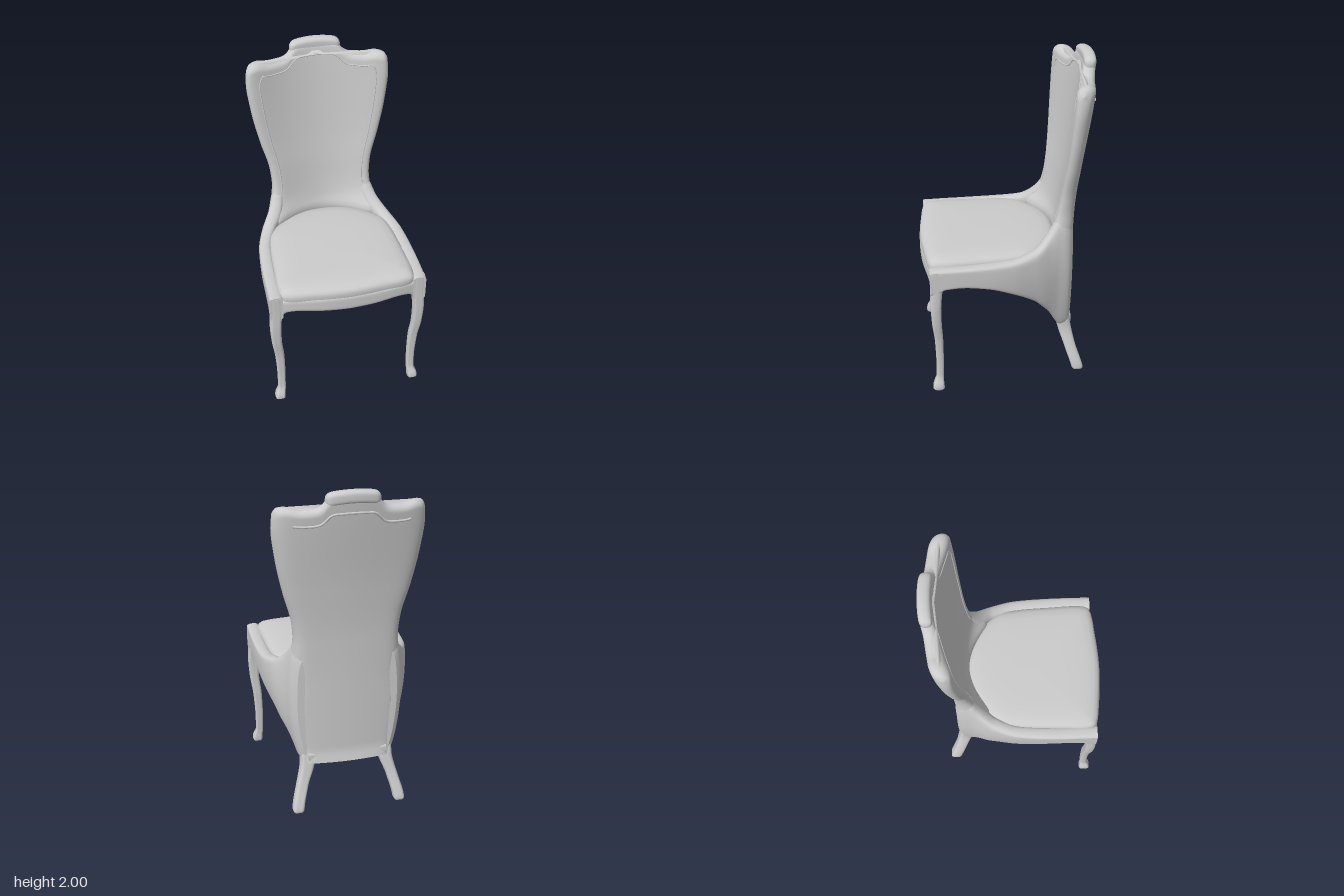
import * as THREE from 'three';

const material = new THREE.MeshStandardMaterial({ color: 0xcccccc, side: THREE.DoubleSide });

// Smooth interpolation of rows [key, a, b, ...]; returns key => [a, b, ...]
function table(rows) {
  const n = rows.length;
  const slope = (i, c) => (rows[i + 1][c] - rows[i][c]) / (rows[i + 1][0] - rows[i][0]);
  const tangent = (i, c) => {
    if (i === 0) return slope(0, c);
    if (i === n - 1) return slope(n - 2, c);
    const a = slope(i - 1, c), b = slope(i, c);
    return a * b <= 0 ? 0 : 2 * a * b / (a + b);
  };
  return (key) => {
    const k = THREE.MathUtils.clamp(key, rows[0][0], rows[n - 1][0]);
    let i = 0;
    while (i < n - 2 && k > rows[i + 1][0]) i++;
    const h = rows[i + 1][0] - rows[i][0], t = (k - rows[i][0]) / h, t2 = t * t, t3 = t2 * t;
    return rows[i].slice(1).map((v, j) => (2 * t3 - 3 * t2 + 1) * v + (3 * t2 - 2 * t3) * rows[i + 1][j + 1]
      + h * ((t3 - 2 * t2 + t) * tangent(i, j + 1) + (t3 - t2) * tangent(i + 1, j + 1)));
  };
}

// Skin closed rings of [x, y, z] points, cap both ends and face outward
function loft(name, rings) {
  const n = rings[0].length, pos = rings.flat(2), idx = [];
  for (let r = 0; r < rings.length - 1; r++) {
    for (let i = 0; i < n; i++) {
      const a = r * n + i, b = r * n + (i + 1) % n;
      idx.push(a, b, a + n, b, b + n, a + n);
    }
  }
  [rings[0], rings[rings.length - 1]].forEach((ring, end) => {
    const base = pos.length / 3;
    const mid = [0, 1, 2].map((c) => ring.reduce((s, p) => s + p[c], 0) / n);
    pos.push(...ring.flat(), ...mid);
    for (let i = 0; i < n; i++) {
      const a = base + i, b = base + (i + 1) % n;
      idx.push(...(end ? [a, b, base + n] : [b, a, base + n]));
    }
  });
  // Signed volume decides the winding
  const p = (i) => new THREE.Vector3().fromArray(pos, i * 3);
  let volume = 0;
  for (let i = 0; i < idx.length; i += 3) volume += p(idx[i]).dot(p(idx[i + 1]).cross(p(idx[i + 2])));
  if (volume < 0) idx.reverse();
  const geo = new THREE.BufferGeometry();
  geo.setAttribute('position', new THREE.Float32BufferAttribute(pos, 3));
  geo.setIndex(idx);
  geo.computeVertexNormals();
  const mesh = new THREE.Mesh(geo, material);
  mesh.name = name;
  return mesh;
}

const steps = (a, b, n) => Array.from({ length: n + 1 }, (_, i) => a + (b - a) * i / n);

// Rounded slab section: pairs [along, across] in -1..1
function section(n, power) {
  return steps(0, 2 * Math.PI, n).slice(0, n).map((t) => {
    const u = Math.cos(t);
    return [u, Math.sign(Math.sin(t)) * Math.sqrt(Math.max(0, 1 - Math.abs(u) ** power))];
  });
}

function tube(name, points, radius) {
  const curve = new THREE.CatmullRomCurve3(points.map((p) => new THREE.Vector3(...p)));
  const mesh = new THREE.Mesh(new THREE.TubeGeometry(curve, 96, radius, 10), material);
  mesh.name = name;
  return mesh;
}

// Back shell: half width, then z of front centre, front edge, back centre, back edge
const halfWidth = table([[0.3, 0.27], [0.4, 0.287], [0.55, 0.315], [0.75, 0.336], [0.9, 0.334], [1, 0.322],
  [1.1, 0.312], [1.2, 0.32], [1.4, 0.37], [1.6, 0.41], [1.78, 0.43], [1.86, 0.424]]);
const frontZ = table([[0.3, -0.36, -0.33], [0.45, -0.355, -0.3], [0.7, -0.35, -0.27], [0.8, -0.32, -0.16],
  [0.9, -0.3, -0.13], [0.95, -0.315, -0.18], [1, -0.325, -0.225], [1.1, -0.34, -0.262], [1.2, -0.352, -0.28],
  [1.4, -0.38, -0.3], [1.9, -0.44, -0.325], [2, -0.455, -0.34]]);
const backZ = table([[0.3, -0.422, -0.4], [0.38, -0.405, -0.385], [0.8, -0.405, -0.375], [1.1, -0.41, -0.39],
  [1.4, -0.435, -0.41], [1.9, -0.508, -0.458], [2, -0.52, -0.465]]);
const topEdge = table([[0, 1.985], [0.1, 1.98], [0.13, 1.965], [0.15, 1.938], [0.17, 1.914], [0.21, 1.898],
  [0.28, 1.895], [0.36, 1.907], [0.4, 1.9], [0.43, 1.86]]);

function backPoint(u, row, s) {
  const x = u * halfWidth(row)[0];
  const y = row + (topEdge(Math.abs(x))[0] - 1.86) * THREE.MathUtils.smoothstep(row, 1.6, 1.86);
  const k = Math.abs(u) ** 1.9;
  const [fc, fe] = frontZ(y), [bc, be] = backZ(y);
  const f = fc + (fe - fc) * k, b = bc + (be - bc) * k;
  const roll = row > 1.82 ? Math.sqrt(Math.max(0, 1 - ((row - 1.82) / 0.04) ** 2)) : 1;
  return [x, y, (f + b) / 2 + s * roll * (f - b) / 2];
}

function backrest() {
  const group = new THREE.Group();
  group.name = 'backrest';
  const rows = [...steps(0.3, 1.81, 60), ...steps(0, Math.PI / 2, 10).map((a) => 1.82 + 0.04 * Math.sin(a))];
  const ring = section(128, 10);
  group.add(loft('backShell', rows.map((y) => ring.map(([u, s]) => backPoint(u, y, s)))));

  // Beads around the upholstery in front and below the crest behind
  const face = (u, y, side) => backPoint(u, y, side * Math.sqrt(1 - Math.abs(u) ** 10));
  const edge = steps(1.05, 1.75, 16);
  const path = [...edge.map((y) => [-0.82, y]), ...steps(-0.77, 0.77, 30).map((u) => [u, 1.797]),
    ...edge.reverse().map((y) => [0.82, y])];
  group.add(tube('frontBead', path.map(([u, y]) => face(u, y, 1)), 0.004));
  group.add(tube('rearBead', steps(-0.75, 0.75, 30).map((u) => face(u, 1.78, -1)), 0.007));

  // Rounded crest block at the top, drooping slightly at its ends
  const block = section(32, 4);
  group.add(loft('crest', steps(-Math.PI / 2, Math.PI / 2, 32).map((t) => {
    const e = Math.sin(t), x = 0.152 * e, k = Math.sqrt(Math.max(0, 1 - e ** 12));
    return block.map(([a, b]) => [x, 1.962 - 0.016 * e * e + a * 0.038 * k, -0.484 + 0.012 * e * e + b * 0.036 * k]);
  })));
  return group;
}

// Side panel by z: bottom y, top y, outer x at bottom, middle and top, thickness
const sideTable = table([[-0.385, 0.31, 0.98, 0.25, 0.3, 0.28, 0.04], [-0.365, 0.29, 1.04, 0.274, 0.328, 0.296, 0.06],
  [-0.33, 0.29, 1.08, 0.284, 0.344, 0.307, 0.07], [-0.3, 0.325, 1.075, 0.295, 0.354, 0.312, 0.075],
  [-0.25, 0.42, 1.005, 0.33, 0.378, 0.338, 0.09],
  [-0.2, 0.49, 0.945, 0.365, 0.402, 0.378, 0.1], [-0.15, 0.55, 0.908, 0.39, 0.42, 0.41, 0.09],
  [0, 0.65, 0.874, 0.44, 0.455, 0.455, 0.075], [0.15, 0.71, 0.865, 0.462, 0.467, 0.466, 0.073],
  [0.3, 0.732, 0.861, 0.468, 0.47, 0.47, 0.072], [0.39, 0.726, 0.861, 0.47, 0.47, 0.47, 0.075],
  [0.43, 0.7, 0.861, 0.47, 0.47, 0.47, 0.078], [0.476, 0.69, 0.861, 0.47, 0.47, 0.47, 0.078]]);

function sidePanel(side) {
  const ring = section(44, 14);
  return loft('sidePanel', steps(-0.385, 0.476, 56).map((z) => {
    const [yb, yt, xb, xm, xt, thick] = sideTable(z);
    return ring.map(([p, s]) => {
      const x = xm + p * (xt - xb) / 2 + p * p * ((xt + xb) / 2 - xm);
      return [side * (x - thick / 2 + s * thick / 2), (yb + yt) / 2 + p * (yt - yb) / 2, z];
    });
  }));
}

// Legs by y: centre x, centre z, width, depth
const frontLeg = table([[0, 0.43, 0.445, 0.05, 0.05], [0.015, 0.43, 0.447, 0.065, 0.07], [0.04, 0.428, 0.446, 0.062, 0.064],
  [0.09, 0.416, 0.437, 0.048, 0.043], [0.2, 0.415, 0.434, 0.05, 0.045], [0.35, 0.42, 0.436, 0.056, 0.05],
  [0.5, 0.436, 0.446, 0.062, 0.058], [0.6, 0.439, 0.448, 0.068, 0.062], [0.7, 0.434, 0.443, 0.073, 0.07],
  [0.76, 0.431, 0.438, 0.078, 0.078], [0.85, 0.431, 0.438, 0.078, 0.078]]);
const rearLeg = table([[0, 0.316, -0.438, 0.06, 0.06], [0.015, 0.315, -0.435, 0.072, 0.072], [0.15, 0.282, -0.392, 0.072, 0.072],
  [0.3, 0.241, -0.352, 0.088, 0.085], [0.45, 0.238, -0.33, 0.085, 0.07], [0.75, 0.225, -0.31, 0.07, 0.07]]);

function leg(name, rows, height, side) {
  const ring = section(32, 6);
  return loft(name, [0, 0.007, ...steps(0.015, height, 40)].map((y) => {
    const [x, z, w, d] = rows(y);
    return ring.map(([a, b]) => [side * (x + a * w / 2), y, z + b * d / 2]);
  }));
}

// Padded seat, with a bowed front and a round rear
function seat() {
  const half = [[0.2, 0.5], [0.38, 0.472], [0.403, 0.44], [0.402, 0.2], [0.39, 0], [0.366, -0.12],
    [0.29, -0.205], [0.19, -0.272], [0.08, -0.305]];
  const outline = [[0, 0.513], ...half, ...half.map(([x, z]) => [-x, z]).reverse()];
  const curve = new THREE.CatmullRomCurve3(outline.map(([x, z]) => new THREE.Vector3(x, 0, z)), true);
  const loop = curve.getPoints(96).slice(0, 96);
  const levels = [[0.97, 0.75], [0.985, 0.8], [1, 0.825], [1, 0.85], [0.99, 0.865], [0.965, 0.878], [0.91, 0.89],
    [0.8, 0.898], [0.6, 0.903], [0.35, 0.905], [0.02, 0.906]];
  return loft('seatCushion', levels.map(([k, y]) => loop.map((p) => [p.x * k, y, 0.1 + (p.z - 0.1) * k])));
}

// Bowed apron under the front of the seat
function frontRail() {
  const bottom = table([[0, 0.722], [0.15, 0.728], [0.3, 0.741], [0.37, 0.732], [0.41, 0.69]]);
  const ring = section(28, 6);
  return loft('frontRail', steps(-0.41, 0.41, 48).map((x) => {
    const yb = bottom(Math.abs(x))[0], yt = 0.835, z = 0.472 + 0.044 * (1 - (x / 0.41) ** 2);
    return ring.map(([a, b]) => [x, (yb + yt) / 2 + a * (yt - yb) / 2, z - 0.03 + b * 0.03]);
  }));
}

// Straight rail along the foot of the back shell
function rearRail() {
  const ring = section(24, 5);
  return loft('rearRail', steps(-0.24, 0.24, 12).map((x) =>
    ring.map(([a, b]) => [x, 0.335 + a * 0.033, -0.369 + b * 0.03])));
}

export function createModel() {
  const model = new THREE.Group();
  model.name = 'chair';
  model.add(backrest(), seat(), frontRail(), rearRail());
  for (const side of [1, -1]) {
    model.add(sidePanel(side), leg('frontLeg', frontLeg, 0.85, side), leg('rearLeg', rearLeg, 0.75, side));
  }
  return model;
}
